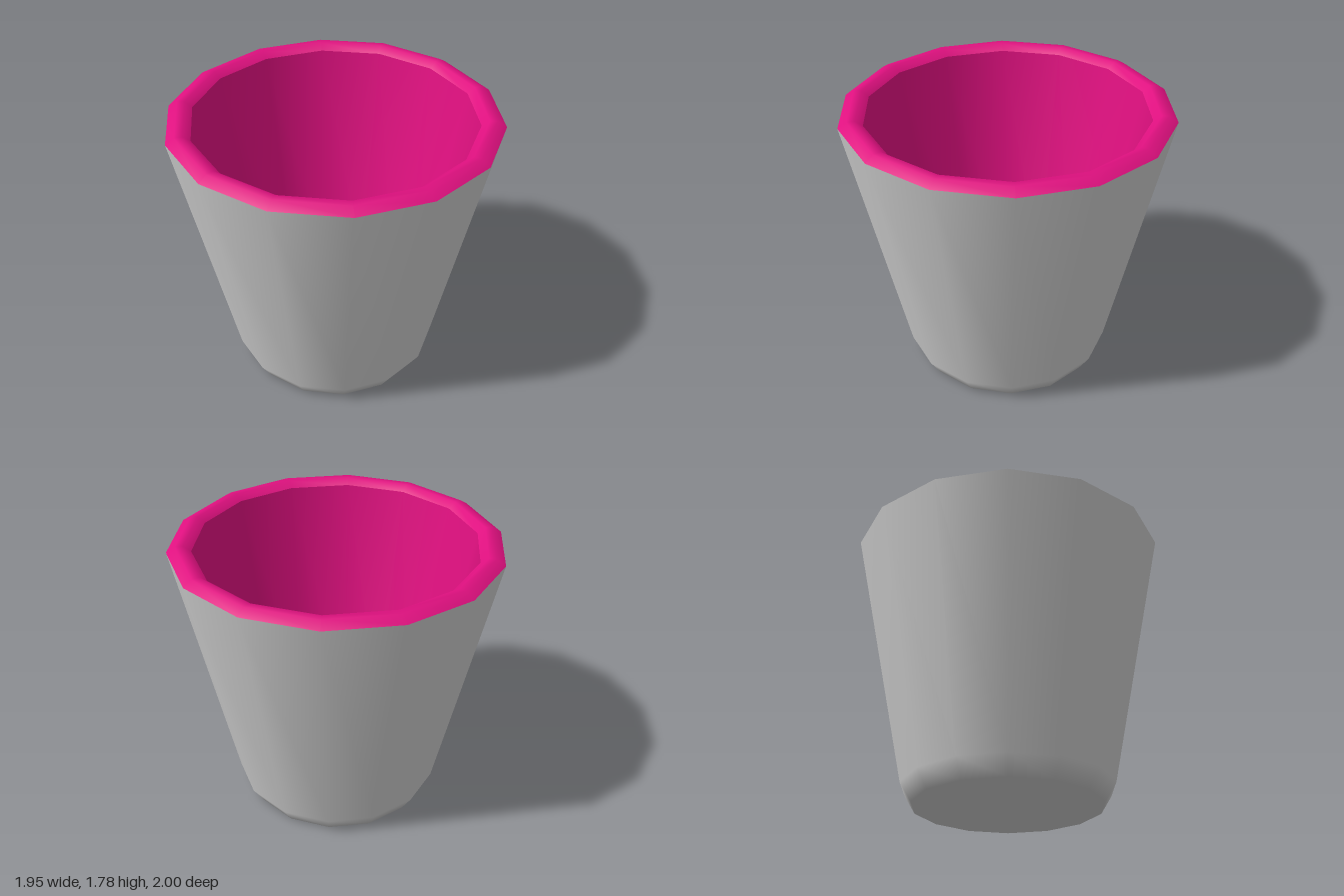
import * as THREE from 'three';

const SIDES = 14;

// Smooth 14-sided turned surface from [radius, height] pairs
function turned(name, profile, material) {
  const points = profile.map(([r, y]) => new THREE.Vector2(r, y));
  const mesh = new THREE.Mesh(new THREE.LatheGeometry(points, SIDES), material);
  mesh.name = name;
  return mesh;
}

export function createModel() {
  const shell = new THREE.MeshStandardMaterial({ color: 0xd0d0d0 });
  shell.name = 'light grey';
  const lining = new THREE.MeshStandardMaterial({ color: 0xe01080 });
  lining.name = 'magenta';

  const cup = new THREE.Group();
  cup.name = 'cup';

  // Outside: flat base, bevelled foot and flared wall
  cup.add(turned('outerShell', [[0, 0], [0.59, 0], [0.66, 0.115], [1, 1.745]], shell));

  // Rim: bevelled up from the outer edge, then rolled into the opening
  cup.add(turned('rim', [[1, 1.745], [0.945, 1.78], [0.9, 1.78], [0.855, 1.745]], lining));

  // Inside: tapering wall, rounded corner and floor
  cup.add(turned('innerLining', [[0.855, 1.745], [0.58, 0.2], [0.5, 0.1], [0, 0.1]], lining));

  return cup;
}
